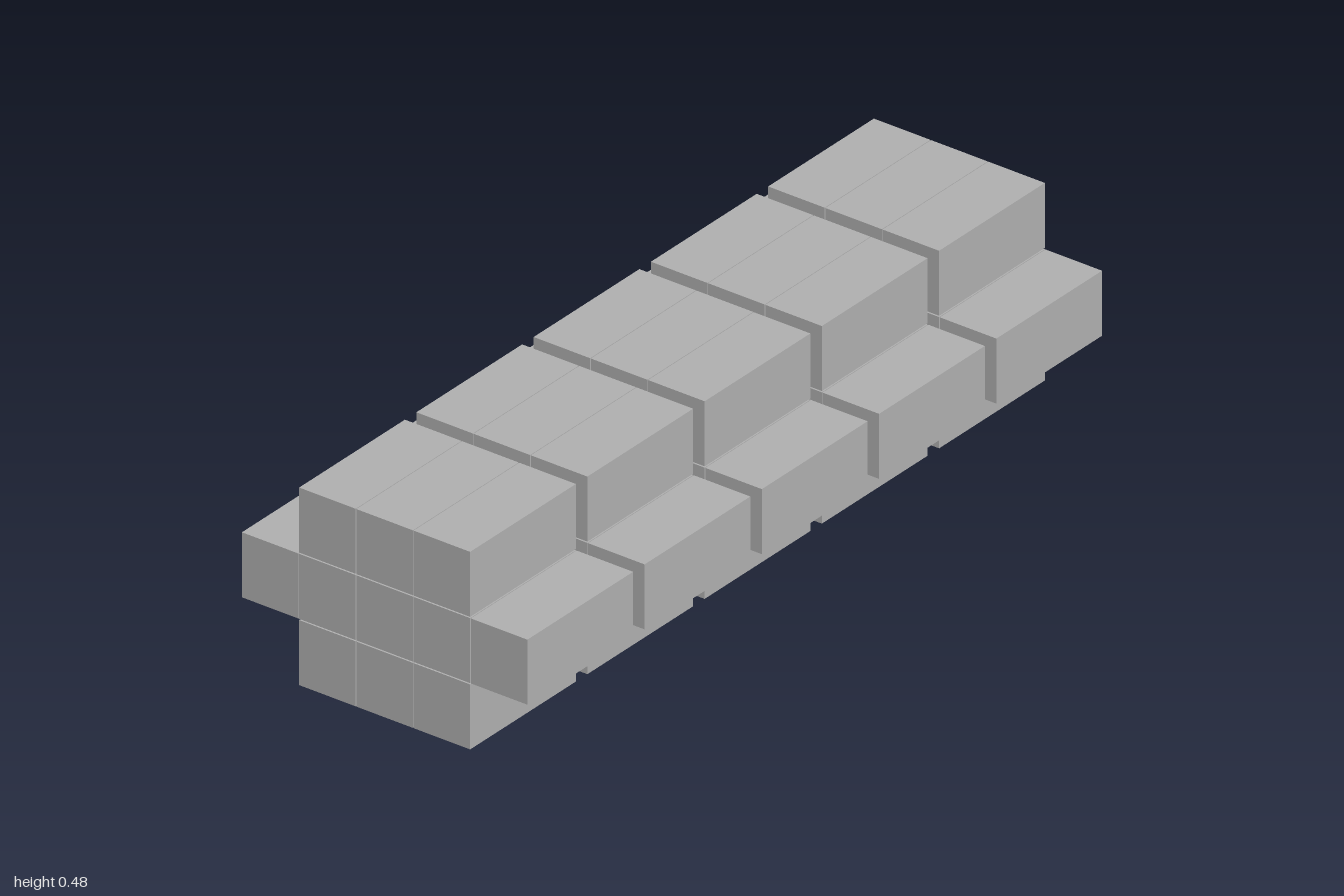
import * as THREE from 'three';

export function createModel() {
  const model = new THREE.Group();
  model.name = 'stackedBars';
  const grey = new THREE.MeshStandardMaterial({ color: 0xb0b0b0 });
  grey.name = 'grey';

  const size = { x: 0.1505, y: 0.158, z: 0.368 };
  const pitch = { x: 0.1525, y: 0.161, z: 0.408 };
  const bar = new THREE.BoxGeometry(size.x, size.y, size.z);

  // Half-width of each layer in bars: the middle layer is wider
  const layers = [
    { name: 'bottom', reach: 1 },
    { name: 'middle', reach: 2 },
    { name: 'top', reach: 1 },
  ];

  // Five identical stacks in a row from back to front
  for (let row = -2; row <= 2; row++) {
    const stack = new THREE.Group();
    stack.name = `stack${row + 3}`;
    stack.position.z = row * pitch.z;
    layers.forEach(({ name, reach }, level) => {
      for (let column = -reach; column <= reach; column++) {
        const mesh = new THREE.Mesh(bar, grey);
        mesh.name = `${name}Bar`;
        mesh.position.set(column * pitch.x, size.y / 2 + level * pitch.y, 0);
        stack.add(mesh);
      }
    });
    model.add(stack);
  }
  return model;
}
